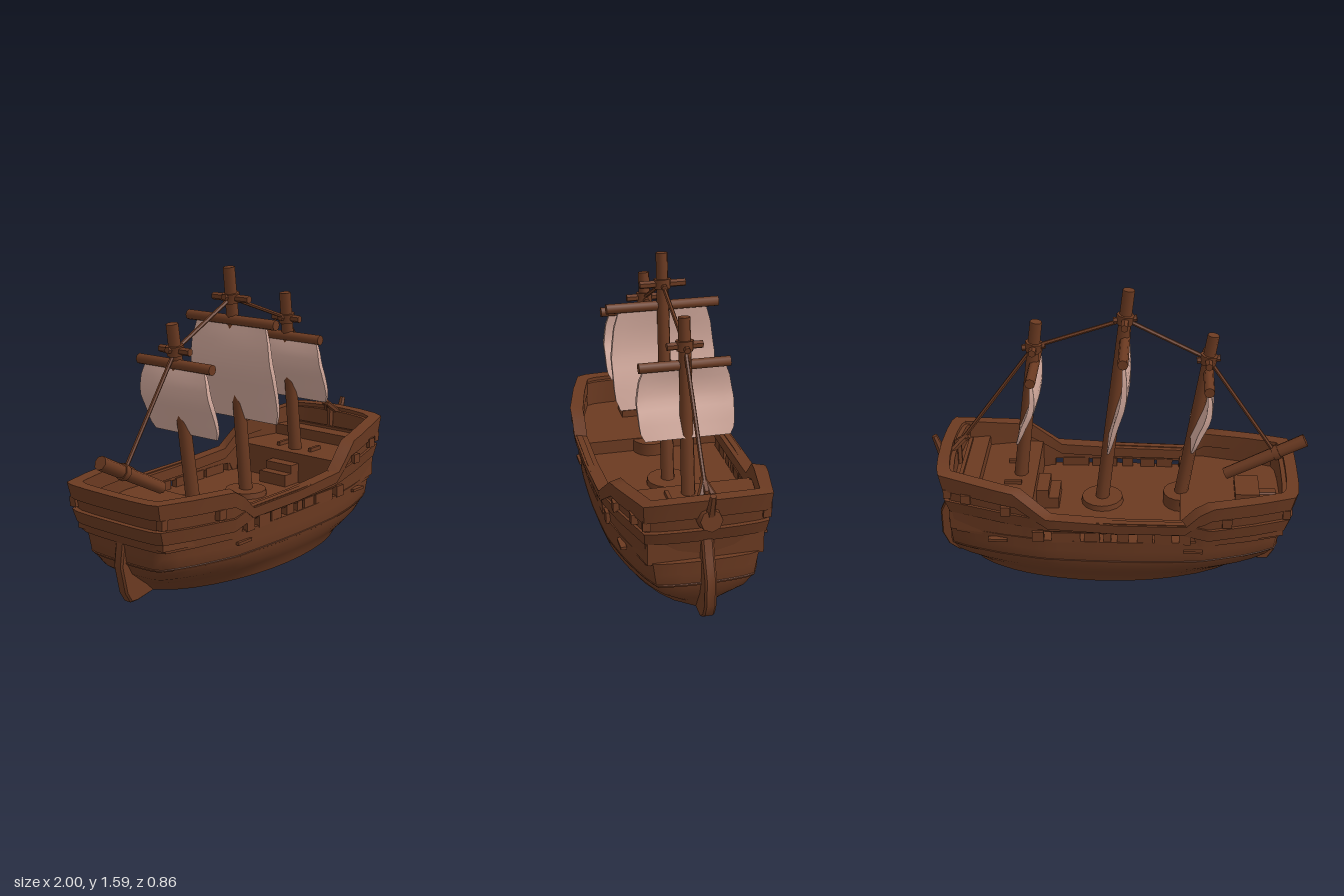
import * as THREE from 'three';
import { toCreasedNormals } from 'three/addons/utils/BufferGeometryUtils.js';

const wood = new THREE.MeshStandardMaterial({ color: 0x6b3a21 });
wood.name = 'wood';
const cloth = new THREE.MeshStandardMaterial({ color: 0xd2a99c });
cloth.name = 'sailcloth';

// Straight-line lookup in a list of [x, value]
function interp(table, x) {
  if (x <= table[0][0]) return table[0][1];
  for (let i = 1; i < table.length; i++) {
    const [x0, v0] = table[i - 1], [x1, v1] = table[i];
    if (x <= x1) return v0 + (v1 - v0) * (x - x0) / (x1 - x0);
  }
  return table[table.length - 1][1];
}

// Plan outline of the rail: half from bow (-x) to stern (+x), then mirrored
const beam = [[-0.92, 0.31], [-0.75, 0.365], [-0.5, 0.425], [0, 0.432], [0.38, 0.425], [0.62, 0.385], [0.92, 0.315]];
const stations = [-0.92, -0.84, -0.75, -0.62, -0.5, -0.46, -0.43, -0.36, -0.3, -0.15, 0,
  0.15, 0.3, 0.36, 0.42, 0.46, 0.53, 0.62, 0.75, 0.84, 0.92];
const half = [[-0.95, 0], [-0.948, 0.15], [-0.94, 0.26],
  ...stations.map(x => [x, interp(beam, x)]), [0.935, 0.26], [0.945, 0.15], [0.95, 0]];
const outline = [...half, ...half.slice(1, -1).reverse().map(([x, z]) => [x, -z])];

// Height tables along the ship
const railTop = [[-0.95, 0.58], [-0.5, 0.57], [-0.43, 0.53], [-0.36, 0.46], [0, 0.465], [0.36, 0.485], [0.53, 0.62], [0.92, 0.675], [0.95, 0.69]];
const railDepth = [[-0.95, 0.08], [-0.46, 0.08], [-0.36, 0.055], [0.36, 0.06], [0.53, 0.085], [0.95, 0.1]];
const waleBase = [[-0.95, 0.37], [-0.5, 0.36], [-0.36, 0.395], [0.36, 0.405], [0.62, 0.425], [0.95, 0.45]];
const wallBase = [[-0.46, 0.32], [-0.43, 0.385], [0.42, 0.39], [0.46, 0.32]];

// Skin a list of closed loops, each an array of [x, y, z]
function loft(loops) {
  const n = loops[0].length, index = [];
  for (let j = 0; j < loops.length - 1; j++) for (let i = 0; i < n; i++) {
    const a = j * n + i, b = j * n + (i + 1) % n;
    index.push(a, b, b + n, a, b + n, a + n);
  }
  const g = new THREE.BufferGeometry();
  g.setAttribute('position', new THREE.Float32BufferAttribute(loops.flat(2), 3));
  g.setIndex(index);
  return g;
}

// Outline scaled about the centre at a height given by a function of x
const ring = (sx, sz, height) => outline.map(([x, z]) => [x * sx, height(x), z * sz]);

// Hull outline at height y: pointed ellipse below, square ends above
const fullness = [[0.03, -0.15], [0.07, 0], [0.15, 0.5], [0.22, 0.7], [0.35, 0.78]];
function hullRing(y, out = 1) {
  const k = interp(fullness, y);
  return outline.map(([x, z]) => {
    const low = Math.sign(z) * 0.325 * Math.sqrt(Math.max(0, 1 - (x / 0.95) ** 2));
    const lx = x * 0.82 + 0.06;
    return [(lx + (x - lx) * k * 0.85) * out, y, (low + (z - low) * k) * out];
  });
}

export function createModel() {
  const ship = new THREE.Group();
  ship.name = 'sailingShip';

  function add(name, geometry, material = wood, parent = ship, crease = 0.65) {
    const mesh = new THREE.Mesh(toCreasedNormals(geometry, crease), material);
    mesh.name = name;
    parent.add(mesh);
    return mesh;
  }
  function box(name, x, y, z, w, h, d) {
    const m = add(name, new THREE.BoxGeometry(w, h, d));
    m.position.set(x, y, z);
  }
  function rod(name, a, b, r0, r1 = r0, sides = 8, parent = ship) {
    const p = new THREE.Vector3(...a), q = new THREE.Vector3(...b), d = q.clone().sub(p);
    const m = add(name, new THREE.CylinderGeometry(r1, r0, d.length(), sides), wood, parent, 0.9);
    m.position.copy(p).add(q).multiplyScalar(0.5);
    m.quaternion.setFromUnitVectors(new THREE.Vector3(0, 1, 0), d.normalize());
  }
  // Closed belt with a four-sided section running round the ship
  function belt(name, low, high, outLow, outHigh, inX, inZ) {
    const a = ring(outLow, outLow, low);
    add(name, loft([a, ring(outHigh, outHigh, high), ring(inX, inZ, high), ring(inX, inZ, low), a]));
  }

  // Hull with flat bottom and main deck
  const levels = [0.03, 0.07, 0.11, 0.15, 0.19, 0.22, 0.28, 0.345].map(y => hullRing(y));
  const spine = (loop, y) => loop.map(([x]) => [x, y, 0]);
  add('hull', loft([spine(levels[0], 0.02), ...levels, spine(levels[7], 0.345)]), wood, ship, 0.8);

  // Plank line along the hull
  const plank = [hullRing(0.208), hullRing(0.21, 1.006), hullRing(0.22, 1.006), hullRing(0.223)];
  add('hullPlank', loft(plank));

  // Bulwark, wale and rail
  const top = x => interp(railTop, x);
  belt('bulwark', x => interp(wallBase, x), x => top(x) - 0.02, 0.92, 0.97, 0.91, 0.87);
  belt('wale', x => interp(waleBase, x), x => interp(waleBase, x) + 0.07, 0.95, 0.975, 0.93, 0.9);
  belt('rail', x => top(x) - interp(railDepth, x), top, 0.98, 1, 0.935, 0.84);

  // Pillars between the gun ports, cleats on the bulwark
  for (const s of [-1, 1]) {
    for (const [x, w] of [[-0.355, 0.06], [-0.245, 0.09], [-0.15, 0.08], [-0.035, 0.06], [0.045, 0.04], [0.125, 0.08], [0.26, 0.15], [0.405, 0.06]])
      box('portPillar', x, 0.365, s * 0.385, w, 0.06, 0.035);
    for (const [x, y, z] of [[-0.57, 0.47, 0.38], [0.57, 0.51, 0.37], [0.78, 0.55, 0.325]])
      box('cleat', x, y, s * z, 0.05, 0.05, 0.05);
    for (const [x, y] of [[-0.4, 0.29], [0.62, 0.32]])
      box('hullCleat', x, y, s * (x < 0 ? 0.39 : 0.36), 0.1, 0.015, 0.03);
    box('portFrame', -0.88, 0.475, s * 0.295, 0.04, 0.05, 0.04);
    box('portFrame', 0.88, 0.56, s * 0.295, 0.04, 0.05, 0.04);
  }

  // Raised decks cut from the plan outline
  function deck(name, x0, x1, y0, y1) {
    const side = [x0, ...stations.filter(x => x > x0 && x < x1), x1].map(x => [x, interp(beam, x) * 0.89]);
    const pts = [...side, ...side.slice().reverse().map(([x, z]) => [x, -z])];
    const g = new THREE.ExtrudeGeometry(new THREE.Shape(pts.map(p => new THREE.Vector2(...p))),
      { depth: y1 - y0, bevelEnabled: false });
    add(name, g.rotateX(-Math.PI / 2).translate(0, y0, 0));
  }
  deck('bowDeck', -0.87, -0.33, 0.335, 0.42);
  deck('sternDeck', 0.44, 0.88, 0.335, 0.51);
  deck('poopDeck', 0.73, 0.88, 0.5, 0.57);
  box('bowHatch', -0.69, 0.435, 0, 0.13, 0.05, 0.2);
  box('sternSteps', 0.38, 0.375, 0, 0.12, 0.07, 0.18);
  box('sternSteps', 0.41, 0.42, 0, 0.07, 0.07, 0.18);
  for (const s of [-1, 1]) box('deckBeam', 0.56, 0.515, s * 0.11, 0.09, 0.03, 0.02);
  box('poopBeam', 0.83, 0.575, 0, 0.02, 0.02, 0.5);

  // Stem and rudder blades
  function blade(name, pts, thick) {
    const g = new THREE.ExtrudeGeometry(new THREE.Shape(pts.map(p => new THREE.Vector2(...p))),
      { depth: thick - 0.02, bevelThickness: 0.01, bevelSize: 0.008, bevelSegments: 1 });
    add(name, g.translate(0, 0, 0.01 - thick / 2));
  }
  blade('stem', [[-0.84, 0.42], [-0.86, 0.34], [-0.88, 0.2], [-0.85, 0.06], [-0.82, 0.01], [-0.78, 0.008], [-0.66, 0.03], [-0.66, 0.42]], 0.06);
  blade('rudder', [[0.76, 0.03], [0.89, 0.025], [0.94, 0.06], [0.972, 0.13], [0.972, 0.27], [0.93, 0.36], [0.9, 0.45], [0.76, 0.45]], 0.06);

  // Stern boss, hook and bowsprit
  rod('sternBoss', [0.9, 0.58, 0], [0.97, 0.59, 0], 0.065, 0.055);
  rod('sternHook', [0.945, 0.61, 0], [0.985, 0.73, 0], 0.025, 0.016, 6);
  for (const s of [-1, 1]) rod('ropeCleat', [0.82, 0.725, 0], [0.89, 0.66, s * 0.04], 0.017, 0.017, 6);
  rod('ropePost', [0.86, 0.56, 0], [0.86, 0.7, 0], 0.02, 0.02, 6);
  rod('bowsprit', [-0.57, 0.53, 0], [-0.985, 0.745, 0], 0.032, 0.036);
  rod('bowspritRing', [-0.82, 0.66, 0], [-0.85, 0.675, 0], 0.042);

  // Masts, each with collar, crosspieces, yard and sail
  // base and tip in the xy plane, collar height, yard height and half length, sail foot and half width
  const masts = [
    { name: 'foreMast', base: [-0.335, 0.4], tip: [-0.48, 1.345], collar: 1.21, yard: 1.14, span: 0.245, foot: 0.77, wide: 0.23, bar: 0.1 },
    { name: 'mainMast', base: [0.095, 0.33], tip: [-0.05, 1.585], collar: 1.425, yard: 1.31, span: 0.295, foot: 0.775, wide: 0.27, bar: 0.12 },
    { name: 'mizzenMast', base: [0.535, 0.45], tip: [0.42, 1.405], collar: 1.265, yard: 1.165, span: 0.23, foot: 0.81, wide: 0.24, bar: 0.09 },
  ];
  const collars = [];
  for (const m of masts) {
    const g = new THREE.Group();
    g.name = m.name;
    ship.add(g);
    const at = y => m.base[0] + (m.tip[0] - m.base[0]) * (y - m.base[1]) / (m.tip[1] - m.base[1]);
    rod('mastPole', [...m.base, 0], [...m.tip, 0], 0.037, 0.031, 8, g);
    const c = at(m.collar);
    collars.push([c, m.collar, 0]);
    rod('mastCollar', [c + 0.004, m.collar - 0.025, 0], [c - 0.004, m.collar + 0.025, 0], 0.042, 0.047, 8, g);
    rod('crosspiece', [c, m.collar, -m.bar], [c, m.collar, m.bar], 0.02, 0.02, 6, g);
    rod('crosspiece', [c - 0.06, m.collar + 0.008, 0], [c + 0.06, m.collar - 0.008, 0], 0.017, 0.017, 6, g);
    const yx = at(m.yard) - 0.012;
    rod('yard', [yx, m.yard, -m.span], [yx, m.yard, m.span], 0.027, 0.027, 8, g);

    // Sail: thin box bent into a billow
    const h = m.yard - m.foot;
    const sail = new THREE.BoxGeometry(1, 1, 2, 1, 10, 10), p = sail.attributes.position;
    const drift = [[0, 0], [0.25, -0.008], [0.45, 0], [0.7, 0.04], [1, 0.078]];
    const width = [[0, 0.84], [0.2, 0.95], [0.5, 1.02], [0.8, 1], [0.95, 0.97], [1, 0.9]];
    for (let i = 0; i < p.count; i++) {
      const v = 0.5 - p.getY(i), u = p.getZ(i);
      const belly = 0.015 * Math.sin(Math.PI * v) * (1 - u * u);
      p.setXYZ(i, yx + interp(drift, v) - belly + p.getX(i) * (0.012 + 0.018 * Math.sin(Math.PI * v)),
        m.yard - v * h, u * m.wide * interp(width, v));
    }
    add('sail', sail, cloth, g, 0.8);
  }
  rod('mainMastStep', [0.09, 0.34, 0], [0.09, 0.375, 0], 0.115, 0.11, 16);
  rod('foreMastStep', [-0.34, 0.34, 0], [-0.34, 0.415, 0], 0.1, 0.1, 16);

  // Rigging from bowsprit over the mast collars to the stern
  const stays = [[-0.84, 0.65, 0], ...collars, [0.83, 0.72, 0]];
  for (let i = 1; i < stays.length; i++) rod('stay', stays[i - 1], stays[i], 0.011, 0.011, 6);
  rod('sternLashing', [0.8, 0.735, 0], [0.87, 0.69, 0], 0.018, 0.018, 6);

  return ship;
}
